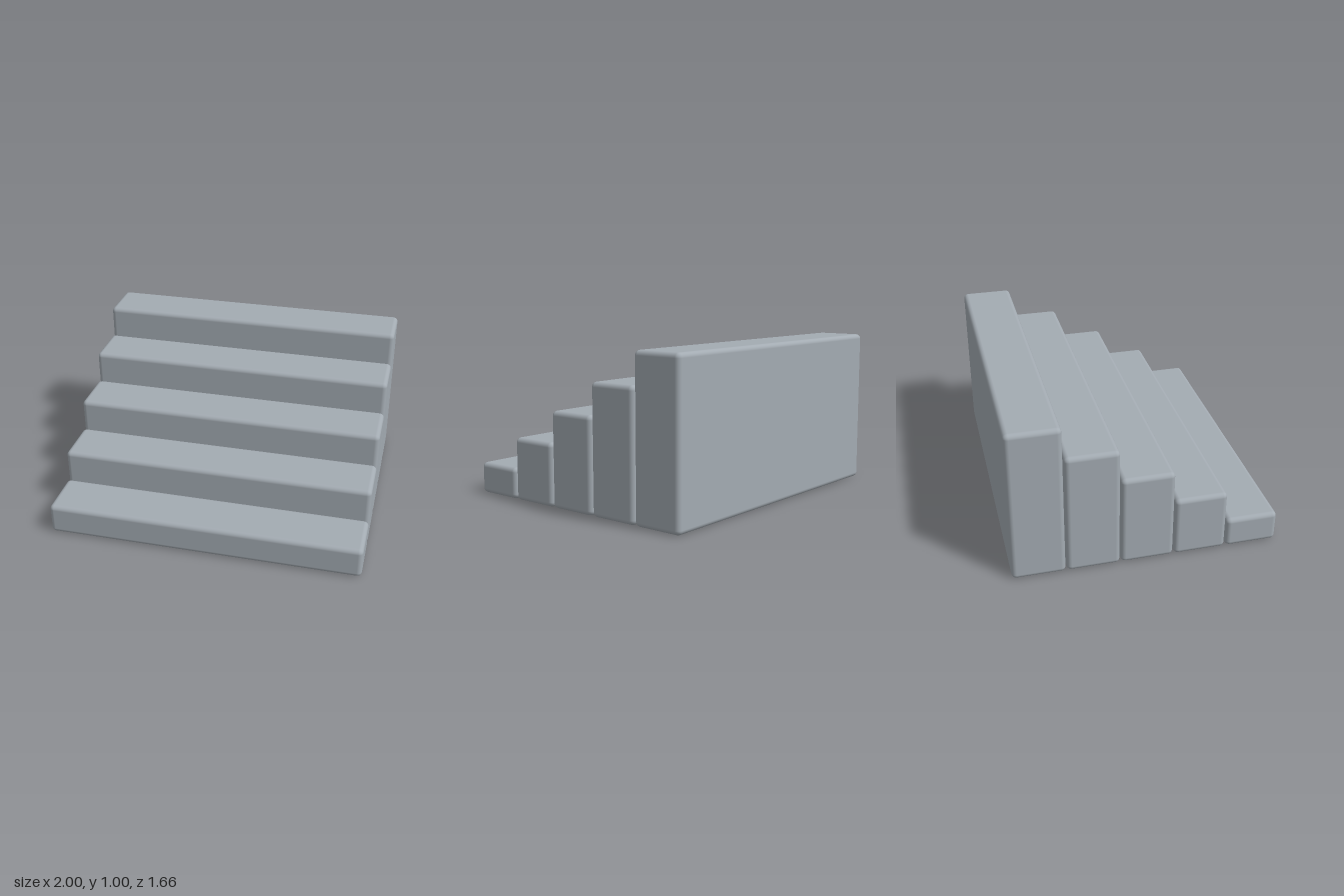
import * as THREE from 'three';
import { RoundedBoxGeometry } from 'three/addons/geometries/RoundedBoxGeometry.js';

export function createModel() {
  const group = new THREE.Group();
  group.name = 'staircase';
  const stone = new THREE.MeshStandardMaterial({ name: 'grey stone', color: 0xa3abb2 });

  const steps = 5, width = 2, rise = 0.2, pitch = 0.333, depth = 0.327, radius = 0.03;

  // Full-height rounded blocks with a narrow gap, rising from front to back
  for (let i = 0; i < steps; i++) {
    const height = rise * (i + 1);
    const step = new THREE.Mesh(new RoundedBoxGeometry(width, height, depth, 3, radius), stone);
    step.name = `step${i + 1}`;
    step.position.set(0, height / 2, ((steps - 1) / 2 - i) * pitch);
    group.add(step);
  }
  return group;
}
